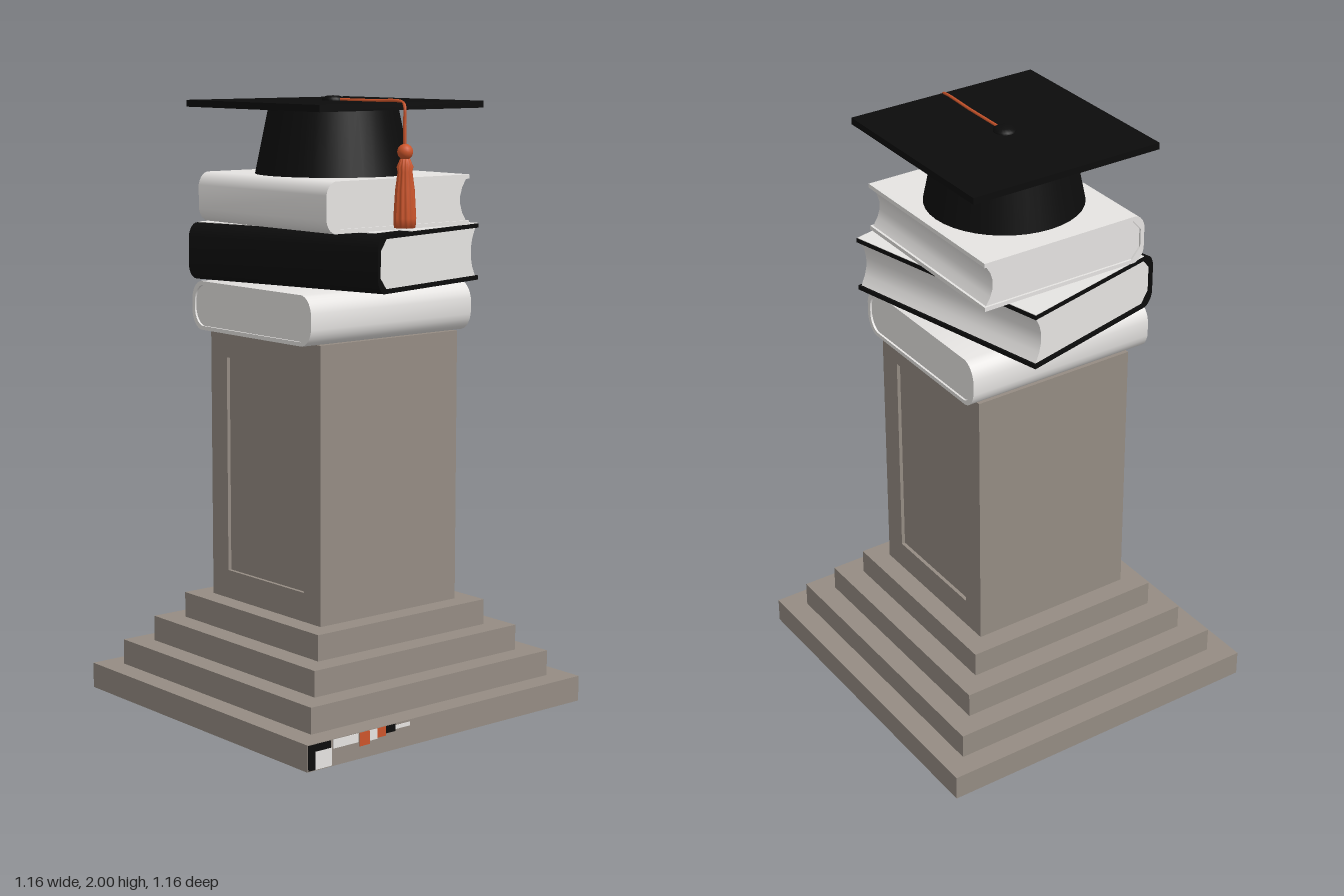
import * as THREE from 'three';
import { toCreasedNormals } from 'three/addons/utils/BufferGeometryUtils.js';

const material = (name, color) => {
  const m = new THREE.MeshStandardMaterial({ color });
  m.name = name;
  return m;
};

export function createModel() {
  const stone = material('stone', 0x958c83);
  const white = material('paperWhite', 0xe6e4e2);
  const black = material('black', 0x0c0c0c);
  const orange = material('tasselOrange', 0xcc552b);

  const model = new THREE.Group();
  model.name = 'graduationPedestal';

  const add = (name, geometry, mat, x = 0, y = 0, z = 0, parent = model) => {
    const mesh = new THREE.Mesh(geometry, mat);
    mesh.name = name;
    mesh.position.set(x, y, z);
    parent.add(mesh);
    return mesh;
  };
  const box = (w, h, d) => new THREE.BoxGeometry(w, h, d);
  const extrude = (shape, depth) => {
    const g = new THREE.ExtrudeGeometry(shape, { depth, bevelEnabled: false, curveSegments: 5 });
    return g.translate(0, 0, -depth / 2);
  };

  // Stepped base
  [0.58, 0.505, 0.43, 0.355].forEach((half, i) =>
    add('baseStep' + (i + 1), box(half * 2, 0.085, half * 2), stone, 0, 0.0425 + i * 0.085, 0));

  // Column with a framed, sunken panel on the front and back
  const recess = 0.012;
  add('column', box(0.57, 0.9, 0.576 - recess * 2), stone, 0, 0.79, 0);
  const rect = (T, x0, y0, x1, y1) => {
    const s = new T();
    s.moveTo(x0, y0).lineTo(x1, y0).lineTo(x1, y1).lineTo(x0, y1).closePath();
    return s;
  };
  const frame = rect(THREE.Shape, -0.285, 0.34, 0.285, 1.24);
  frame.holes.push(rect(THREE.Path, -0.2, 0.435, 0.2, 1.15));
  for (const side of [1, -1])
    add(side > 0 ? 'frontPanelFrame' : 'backPanelFrame', extrude(frame, recess), stone, 0, 0, side * (0.288 - recess / 2));

  // Painted patches on the left side of the lowest step: z from, z to, y from, y to
  [[0.577, 0.49, 0.06, 0.083, black], [0.577, 0.55, 0.003, 0.06, black], [0.55, 0.485, 0.003, 0.06, white],
    [0.48, 0.38, 0.055, 0.083, white], [0.375, 0.335, 0.04, 0.083, orange], [0.335, 0.305, 0.05, 0.083, white],
    [0.305, 0.27, 0.053, 0.083, orange], [0.27, 0.23, 0.06, 0.083, black], [0.23, 0.17, 0.066, 0.078, white],
  ].forEach(([z0, z1, y0, y1, mat], i) =>
    add('basePatch' + (i + 1), box(0.004, y1 - y0, z0 - z1), mat, 0.58, (y0 + y1) / 2, (z0 + z1) / 2));

  // Book profile: the spine is rounded at +x, the fore-edge lies at -x
  const t = 0.014;
  const spineCurve = (s, a, h, c) => {
    s.lineTo(a - c, -h);
    s.quadraticCurveTo(a - c * 0.2, -h + c * 0.2, a, -h + c * 1.2);
    s.lineTo(a, h - c * 1.2);
    s.quadraticCurveTo(a - c * 0.2, h - c * 0.2, a - c, h);
  };
  const openCover = (a, h) => {
    const s = new THREE.Shape();
    s.moveTo(-a, -h);
    spineCurve(s, a, h, 0.035);
    s.lineTo(-a, h).lineTo(-a, h - t).lineTo(a - 0.045, h - t).lineTo(a - t, h - 0.05);
    s.lineTo(a - t, -h + 0.05).lineTo(a - 0.045, -h + t).lineTo(-a, -h + t).closePath();
    return s;
  };
  const pageBlock = (a, h) => {
    const s = new THREE.Shape();
    s.moveTo(-a + 0.008, -h + t).lineTo(a - 0.045, -h + t).lineTo(a - t, -h + 0.05);
    s.lineTo(a - t, h - 0.05).lineTo(a - 0.045, h - t).lineTo(-a + 0.008, h - t);
    s.quadraticCurveTo(-a + 0.06, 0, -a + 0.008, -h + t);
    return s;
  };
  const roundBlock = (T, a, h, c) => {
    const s = new T();
    s.moveTo(-a + c, -h);
    spineCurve(s, a, h, c);
    s.lineTo(-a + c, h);
    s.quadraticCurveTo(-a + c * 0.2, h - c * 0.2, -a, h - c * 1.2);
    s.lineTo(-a, -h + c * 1.2);
    s.quadraticCurveTo(-a + c * 0.2, -h + c * 0.2, -a + c, -h);
    return s;
  };
  const book = (name, length, depth, height, coverMat) => {
    const g = new THREE.Group();
    g.name = name;
    const a = depth / 2, h = height / 2;
    const turn = (geo) => toCreasedNormals(geo.rotateY(-Math.PI / 2), 0.5);
    add(name + 'Cover', turn(extrude(openCover(a, h), length)), coverMat, 0, 0, 0, g);
    add(name + 'Pages', turn(extrude(pageBlock(a, h), length - 0.014)), white, 0, 0, 0, g);
    model.add(g);
    return g;
  };

  // Bottom book, its ends facing front and back
  const lower = new THREE.Group();
  lower.name = 'bottomBook';
  lower.position.set(0, 1.32, 0.01);
  const shell = roundBlock(THREE.Shape, 0.31, 0.08, 0.045);
  shell.holes.push(roundBlock(THREE.Path, 0.296, 0.067, 0.04));
  add('bottomBookCover', toCreasedNormals(extrude(shell, 0.67), 0.5), white, 0, 0, 0, lower);
  add('bottomBookPages', extrude(roundBlock(THREE.Shape, 0.297, 0.068, 0.04), 0.656), white, 0, 0, 0, lower);
  model.add(lower);

  // Middle book, twisted, with a dark spine and one dark corner around a pale top sheet
  const middle = book('middleBook', 0.76, 0.56, 0.184, black);
  middle.position.set(0, 1.495, 0);
  middle.rotation.y = 0.239;
  const sheet = new THREE.Shape();
  sheet.moveTo(-0.378, -0.235).lineTo(0.33, -0.235).lineTo(0.33, -0.1).lineTo(0.378, -0.1);
  sheet.lineTo(0.378, 0.278).lineTo(-0.378, 0.278).closePath();
  add('middleBookTopSheet', extrude(sheet, 0.004).rotateX(-Math.PI / 2), white, 0, 0.092, 0, middle);

  // Top book, its spine facing the front
  book('topBook', 0.66, 0.595, 0.162, white).position.set(0, 1.669, 0.003);

  // Cap
  const cap = new THREE.Group();
  cap.name = 'cap';
  model.add(cap);
  add('capCrown', new THREE.CylinderGeometry(0.21, 0.255, 0.218, 40), black, 0, 1.857, 0, cap);
  add('capBoard', box(0.685, 0.022, 0.678), black, 0, 1.973, -0.002, cap);
  const button = [[0, -0.006], [0.036, -0.006], [0.036, 0.006], [0.024, 0.014], [0, 0.016]];
  add('capButton', new THREE.LatheGeometry(button.map(([x, y]) => new THREE.Vector2(x, y)), 20), black, -0.005, 1.984, -0.002, cap);

  // Tassel: cord over the board, knot and ribbed skirt
  const tassel = new THREE.Group();
  tassel.name = 'tassel';
  model.add(tassel);
  const cord = new THREE.CatmullRomCurve3([[0, 1.987, -0.005], [0.18, 1.987, -0.005], [0.335, 1.986, -0.002],
    [0.353, 1.972, 0.004], [0.355, 1.92, 0.006], [0.357, 1.83, 0.006]].map((p) => new THREE.Vector3(...p)));
  add('tasselCord', new THREE.TubeGeometry(cord, 40, 0.005, 6), orange, 0, 0, 0, tassel);
  add('tasselKnot', new THREE.SphereGeometry(0.025, 16, 12), orange, 0.358, 1.833, 0.006, tassel);
  const skirt = new THREE.LatheGeometry([[0, 0], [0.032, 0], [0.034, 0.03], [0.029, 0.12], [0.022, 0.175],
    [0.025, 0.19], [0.015, 0.215], [0, 0.22]].map(([x, y]) => new THREE.Vector2(x, y)), 48);
  const p = skirt.attributes.position;
  for (let i = 0; i < p.count; i++) {
    const k = 1 + 0.08 * Math.cos(12 * Math.atan2(p.getZ(i), p.getX(i)));
    p.setXYZ(i, p.getX(i) * k, p.getY(i), p.getZ(i) * k);
  }
  skirt.computeVertexNormals();
  add('tasselSkirt', skirt, orange, 0.358, 1.596, 0.006, tassel);

  return model;
}
